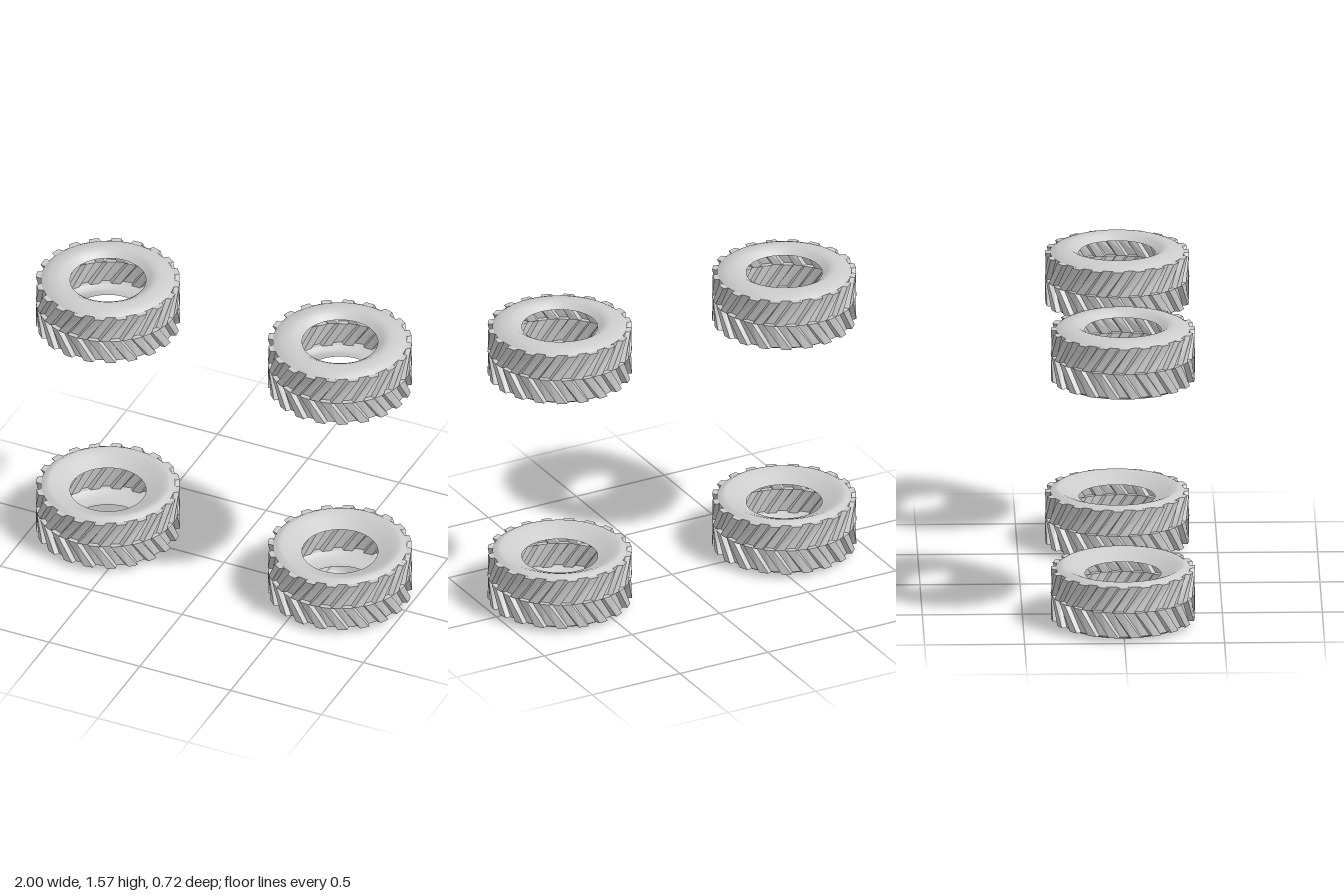
import * as THREE from 'three';

const TEETH = 20, R_OUT = 0.361, R_IN = 0.336, HALF = 0.13, SLANT = 0.25;
const PITCH = (Math.PI * 2) / TEETH;
// Angular breakpoints of one lug and gap, as fractions of the pitch
const STEPS = [0, 0.42, 0.5, 0.92, 1];
const LUG = [R_OUT, R_OUT, R_IN, R_IN, R_OUT];
const GAP = [R_IN, R_IN, R_OUT, R_OUT, R_IN];

const material = new THREE.MeshStandardMaterial({ color: 0xcccccc, side: THREE.DoubleSide });

const at = (a, r, y) => [Math.sin(a) * r, y, Math.cos(a) * r];

// Chevron tread: two halves of slanted lugs, staggered by half a pitch
function treadGeometry() {
  const pos = [];
  const quad = (a, b, c, d) => pos.push(...a, ...b, ...c, ...a, ...c, ...d);
  for (let t = 0; t < TEETH; t++) {
    for (let i = 0; i < 4; i++) {
      const a0 = (t + STEPS[i]) * PITCH, a1 = (t + STEPS[i + 1]) * PITCH;
      for (const h of [1, -1]) {
        const [r0, r1] = (h > 0 ? LUG : GAP).slice(i, i + 2);
        const y = h * HALF, b0 = a0 + SLANT, b1 = a1 + SLANT;
        const mid0 = at(a0, r0, 0), mid1 = at(a1, r1, 0);
        const end0 = at(b0, r0, y), end1 = at(b1, r1, y);
        const in0 = at(b0, R_IN, y), in1 = at(b1, R_IN, y);
        if (h > 0) {
          quad(mid0, mid1, end1, end0);
          quad(end0, end1, in1, in0);
        } else {
          quad(end0, end1, mid1, mid0);
          quad(in0, in1, end1, end0);
        }
      }
      // Ledge where the staggered halves meet
      quad(at(a0, GAP[i], 0), at(a1, GAP[i + 1], 0), at(a1, LUG[i + 1], 0), at(a0, LUG[i], 0));
    }
  }
  const g = new THREE.BufferGeometry();
  g.setAttribute('position', new THREE.Float32BufferAttribute(pos, 3));
  g.computeVertexNormals();
  return g;
}

// Sidewall profiles, from the tread edge in to the bead
const ROUNDED = [[R_IN, 0.13], [0.316, 0.143], [0.292, 0.152], [0.262, 0.156], [0.238, 0.157], [0.215, 0.144], [0.19, 0.125]];
const DISHED = [[R_IN, 0.13], [0.312, 0.145], [0.295, 0.145], [0.265, 0.133], [0.238, 0.12], [0.19, 0.098]];

function sidewallGeometry(profile, up) {
  const pts = profile.map(([r, y]) => new THREE.Vector2(r, y * up));
  if (up < 0) pts.reverse();
  return new THREE.LatheGeometry(pts, 60);
}

function tyre(name, x, y, up) {
  const g = new THREE.Group();
  g.name = name;
  const add = (part, geometry) => {
    const m = new THREE.Mesh(geometry, material);
    m.name = part;
    g.add(m);
  };
  add('tread', treadGeometry());
  add('outerSidewall', sidewallGeometry(ROUNDED, up));
  add('innerSidewall', sidewallGeometry(DISHED, -up));
  g.position.set(x, y, 0);
  return g;
}

export function createModel() {
  const model = new THREE.Group();
  model.name = 'tyreSet';
  for (const [side, x] of [['Left', 0.639], ['Right', -0.639]]) {
    model.add(tyre('upper' + side + 'Tyre', x, 1.409, 1));
    model.add(tyre('lower' + side + 'Tyre', x, 0.157, -1));
  }
  return model;
}
